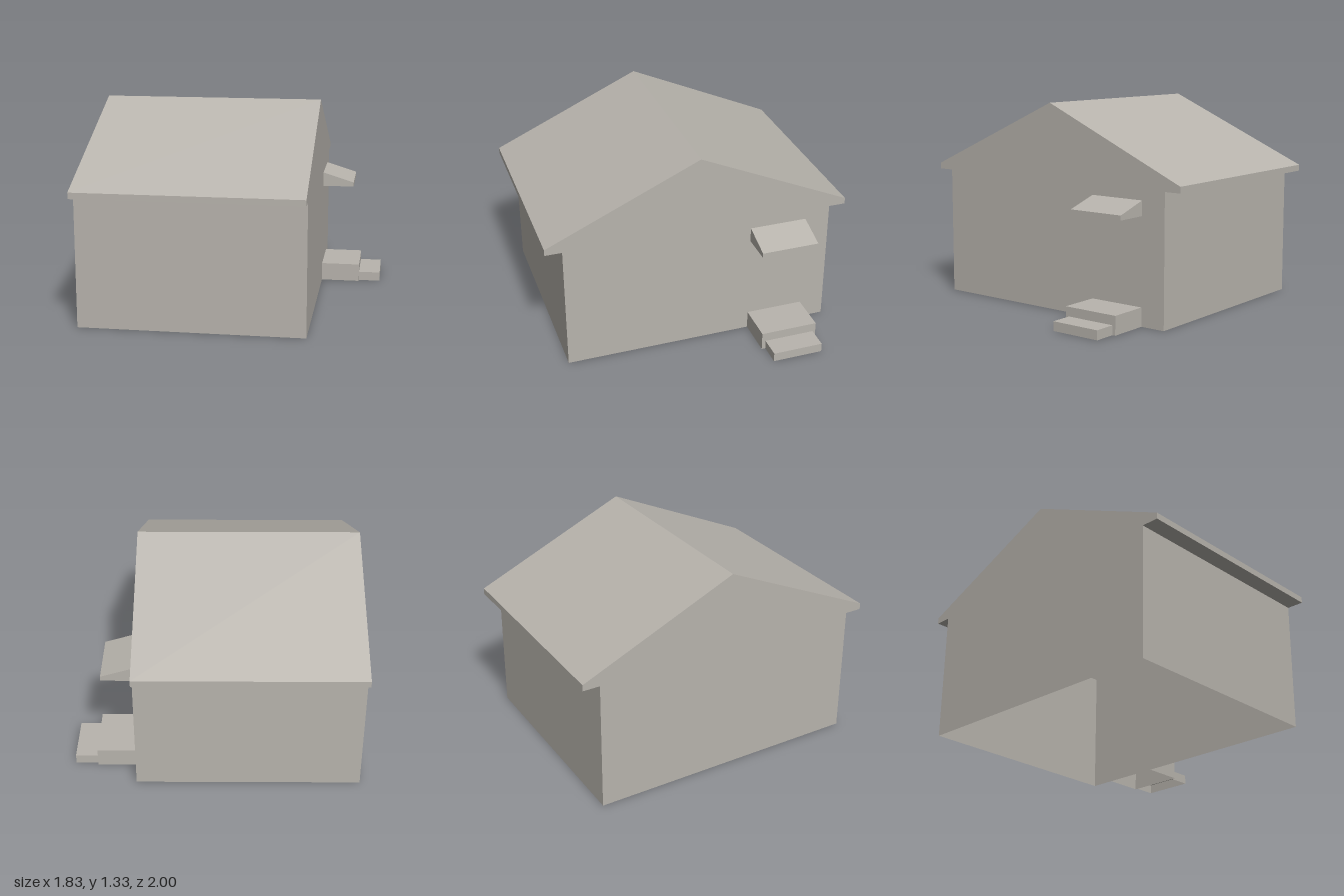
import * as THREE from 'three';

export function createModel() {
  const house = new THREE.Group();
  house.name = 'house';
  const grey = new THREE.MeshStandardMaterial({ color: 0xb8b4ad, side: THREE.DoubleSide });
  grey.name = 'warm grey';

  const add = (name, geometry) => {
    const mesh = new THREE.Mesh(geometry, grey);
    mesh.name = name;
    house.add(mesh);
    return mesh;
  };

  const left = 0.51, right = -0.915;

  // Outline of the house in (z, y), from the front foot over the ridge to the back foot
  const half = [[0.89, 0], [0.89, 0.84], [1, 0.84], [1, 0.88]];
  const outline = [...half, [0, 1.33], ...half.map(([z, y]) => [-z, y]).reverse()];
  const names = ['frontWall', 'frontSoffit', 'frontFascia', 'frontRoof',
    'backRoof', 'backFascia', 'backSoffit', 'backWall'];

  // Each outline edge swept along x: thin panels, open underneath
  names.forEach((name, i) => {
    const [az, ay] = outline[i], [bz, by] = outline[i + 1];
    const panel = new THREE.BufferGeometry();
    panel.setAttribute('position', new THREE.Float32BufferAttribute([
      right, ay, az, left, ay, az, left, by, bz, right, by, bz], 3));
    panel.setIndex([0, 1, 2, 0, 2, 3]);
    panel.computeVertexNormals();
    add(name, panel);
  });

  // Gable ends, flush with the roof edges
  const gable = new THREE.Shape(outline.map(([z, y]) => new THREE.Vector2(-z, y)));
  for (const [name, x, turn] of [['leftGable', left, 1], ['rightGable', right, -1]]) {
    const end = add(name, new THREE.ShapeGeometry(gable));
    end.rotation.y = turn * Math.PI / 2;
    end.position.x = x;
  }

  // Door steps: boxes without the underside or the face against the house
  const openBox = (name, x0, x1, height, z0, z1) => {
    const box = new THREE.BoxGeometry(x1 - x0, height, z1 - z0);
    const index = Array.from(box.index.array);
    box.setIndex(index.filter((_, i) => ![1, 3].includes(Math.floor(i / 6))));
    box.clearGroups();
    add(name, box).position.set((x0 + x1) / 2, height / 2, (z0 + z1) / 2);
  };
  openBox('landing', left, 0.77, 0.12, -0.725, -0.345);
  openBox('lowerStep', 0.77, 0.915, 0.06, -0.705, -0.37);

  // Sloped canopy over the door
  const slope = new THREE.Shape([[left, 0.68], [0.72, 0.68], [0.72, 0.71], [left, 0.775]]
    .map(([x, y]) => new THREE.Vector2(x, y)));
  const canopy = new THREE.ExtrudeGeometry(slope, { depth: 0.38, bevelEnabled: false });
  add('doorCanopy', canopy).position.z = -0.725;

  return house;
}
